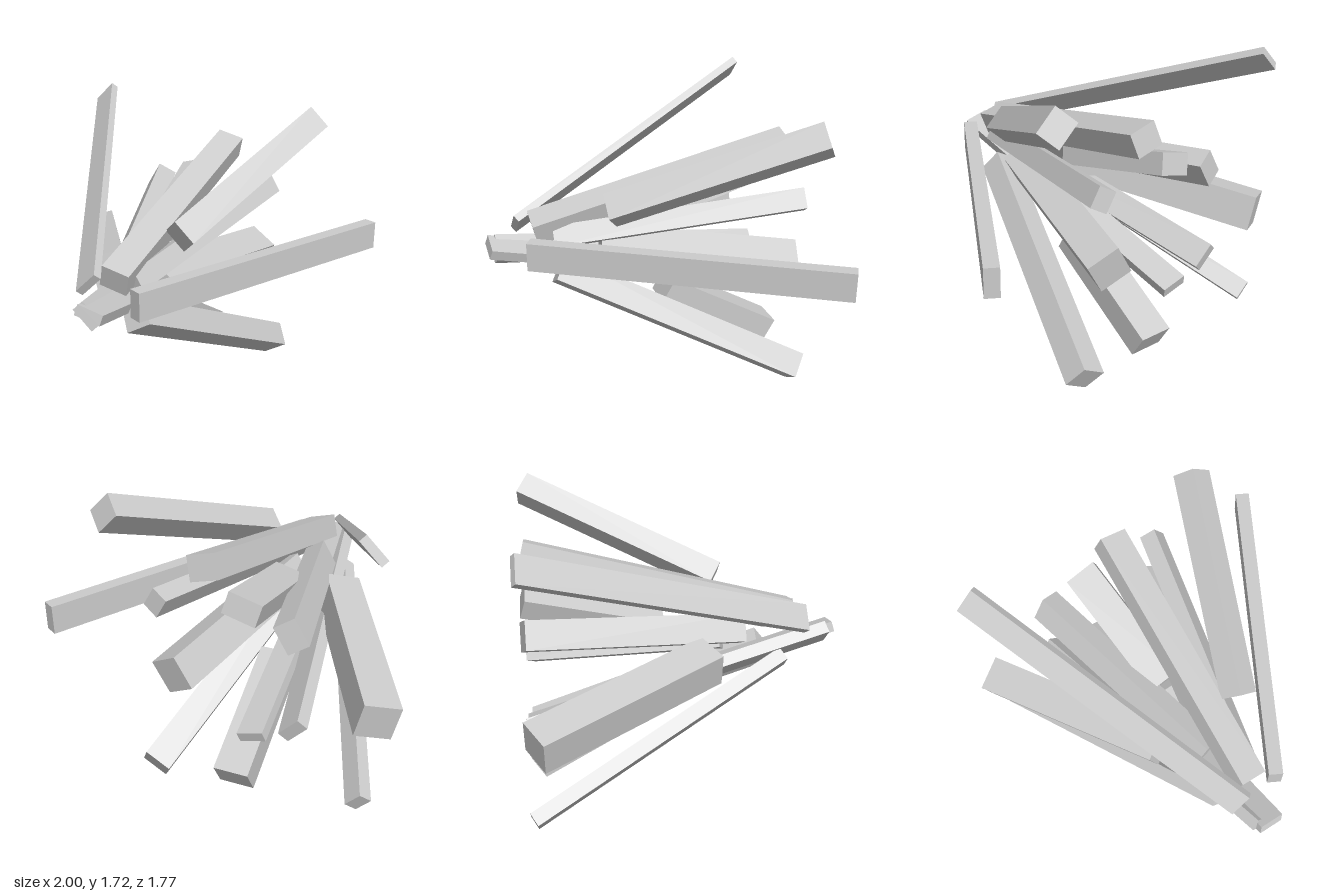
import * as THREE from 'three';

// Shared axis of the burst and the plane where all shards end at the back
const AXIS_X = -0.1, AXIS_Y = 0.925, BACK_Z = -0.89;

// One ring of shards: each is [angle round the axis, outer radius at the back, width, thickness, length]
const OUTER_TILT = 30, OUTER_RING = [
  [0, 1.1, 0.165, 0.08, 1.79],
  [45, 1.015, 0.156, 0.135, 1.25],
  [135, 1.055, 0.156, 0.045, 1.83],
  [195, 0.9, 0.2, 0.2, 1.134],
  [225, 1.043, 0.113, 0.08, 1.663],
  [270, 0.855, 0.2, 0.16, 0.78],
  [300, 1.017, 0.157, 0.15, 1.553],
];
const INNER_TILT = 15, INNER_RING = [
  [30, 0.515, 0.12, 0.1, 1.44],
  [75, 0.565, 0.16, 0.135, 1.55],
  [105, 0.362, 0.187, 0.12, 0.78],
  [150, 0.45, 0.16, 0.12, 1.26],
  [225, 0.534, 0.15, 0.07, 1.78],
  [255, 0.501, 0.15, 0.06, 1.82],
  [330, 0.48, 0.195, 0.19, 1.15],
];

export function createModel() {
  const model = new THREE.Group();
  model.name = 'shardBurst';
  const material = new THREE.MeshStandardMaterial({ color: 0xcccccc, flatShading: true });

  function addRing(name, tiltDegrees, shards) {
    const ring = new THREE.Group();
    ring.name = name;
    ring.position.set(AXIS_X, AXIS_Y, 0);
    const tilt = THREE.MathUtils.degToRad(tiltDegrees);
    const s = Math.sin(tilt), c = Math.cos(tilt);
    shards.forEach(([angle, radius, width, thickness, length], i) => {
      // Turn round the axis, then lean the bar outwards towards the back
      const arm = new THREE.Group();
      arm.name = `${name}Arm${i + 1}`;
      arm.rotation.z = THREE.MathUtils.degToRad(angle);
      const shard = new THREE.Mesh(new THREE.BoxGeometry(thickness, width, length), material);
      shard.name = 'shard';
      shard.rotation.y = -tilt;
      shard.position.set(
        radius - (c * thickness) / 2 - (s * length) / 2,
        0,
        BACK_Z + (s * thickness) / 2 + (c * length) / 2
      );
      arm.add(shard);
      ring.add(arm);
    });
    model.add(ring);
  }

  addRing('outerRing', OUTER_TILT, OUTER_RING);
  addRing('innerRing', INNER_TILT, INNER_RING);
  return model;
}
